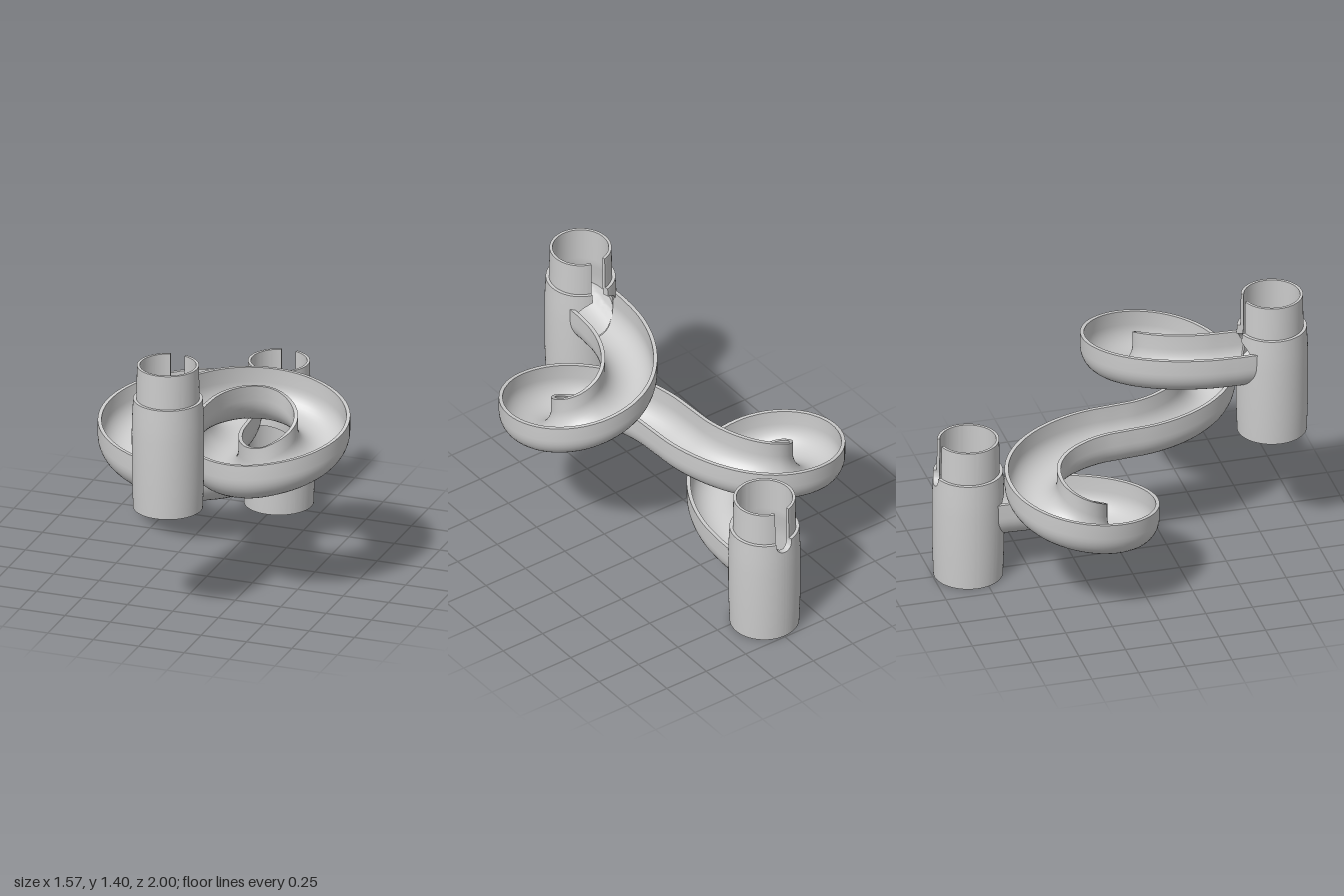
import * as THREE from 'three';
import { toCreasedNormals } from 'three/addons/utils/BufferGeometryUtils.js';

const material = new THREE.MeshStandardMaterial({ color: 0xcccccc });
const V = (x, y, z) => new THREE.Vector3(x, y, z);

// Skins a row of closed cross-sections and closes both ends.
function loft(sections) {
  const pos = [];
  const tri = (a, b, c) => {
    const area = b.clone().sub(a).cross(c.clone().sub(a)).length();
    if (area > 1e-9) pos.push(...a.toArray(), ...b.toArray(), ...c.toArray());
  };
  const quad = (a, b, c, d) => { tri(a, b, c); tri(a, c, d); };
  const n = sections[0].length;
  for (let i = 0; i < sections.length - 1; i++) {
    const s = sections[i], t = sections[i + 1];
    for (let j = 0; j < n; j++) {
      const k = (j + 1) % n;
      quad(s[j], t[j], t[k], s[k]);
    }
  }
  const first = sections[0], last = sections[sections.length - 1];
  for (let j = 0; j < n / 2 - 1; j++) {
    quad(first[j], first[j + 1], first[n - 2 - j], first[n - 1 - j]);
    quad(last[n - 1 - j], last[n - 2 - j], last[j + 1], last[j]);
  }
  const geo = new THREE.BufferGeometry();
  geo.setAttribute('position', new THREE.Float32BufferAttribute(pos, 3));
  return toCreasedNormals(geo, 0.6);
}

function addMesh(parent, geo, name, mat = material) {
  const mesh = new THREE.Mesh(geo, mat);
  mesh.name = name;
  parent.add(mesh);
  return mesh;
}

// Tower wall: height, outer radius, inner radius
const WALL = [
  [0, 0.18, 0.165], [0.17, 0.186, 0.166], [0.42, 0.187, 0.166], [0.5, 0.185, 0.165],
  [0.56, 0.182, 0.148], [0.605, 0.18, 0.147], [0.605, 0.163, 0.147], [0.79, 0.16, 0.145],
];
const TOP = 0.79, R = 0.17, HOLE = 0.125, SLOT = 0.045;
const ALPHA = Math.asin(HOLE / R), BETA = Math.asin(SLOT / R);

function radiiAt(y) {
  for (let i = 0; i < WALL.length - 1; i++) {
    const a = WALL[i], b = WALL[i + 1];
    if (b[0] > a[0] && y <= b[0]) {
      const t = (y - a[0]) / (b[0] - a[0]);
      return [a[1] + t * (b[1] - a[1]), a[2] + t * (b[2] - a[2])];
    }
  }
  return WALL[WALL.length - 1].slice(1);
}

// Part of the wall between two angles, bounded below and above by rules of x
function wallBand(parent, from, to, steps, low, high, name) {
  const sections = [];
  for (let i = 0; i <= steps; i++) {
    const a = from + (to - from) * i / steps;
    const x = R * Math.sin(a), lo = low(x), hi = high(x);
    const at = (r, y) => V(r * Math.sin(a), y, r * Math.cos(a));
    const rows = WALL.map(([y, ro, ri]) => {
      const c = Math.min(hi, Math.max(lo, y));
      return c === y ? [y, ro, ri] : [c, ...radiiAt(c)];
    });
    sections.push([
      ...rows.map(([y, ro]) => at(ro, y)),
      ...rows.reverse().map(([y, , ri]) => at(ri, y)),
    ]);
  }
  addMesh(parent, loft(sections), name);
}

const base = () => 0, top = () => TOP;
const arc = (cy, r, sign) => x => cy + sign * Math.sqrt(Math.max(0, r * r - x * x));

// Entry tower: track opening and slot join on the back
function entryTower() {
  const g = new THREE.Group();
  g.name = 'entryTower';
  const P = Math.PI, cy = 0.44;
  wallBand(g, ALPHA - P, P - ALPHA, 56, base, top, 'towerWall');
  wallBand(g, P - ALPHA, P + ALPHA, 28, base, arc(cy, HOLE, -1), 'wallBelowOpening');
  wallBand(g, P - ALPHA, P - BETA, 12, arc(cy, HOLE, 1), top, 'wallBesideSlot');
  wallBand(g, P + BETA, P + ALPHA, 12, arc(cy, HOLE, 1), top, 'wallBesideSlot');
  // Dished floor sloping toward the track
  const floor = new THREE.RingGeometry(0.0001, 0.166, 48, 10).rotateX(-Math.PI / 2);
  const p = floor.attributes.position;
  for (let i = 0; i < p.count; i++) {
    const x = p.getX(i), z = p.getZ(i);
    const dish = HOLE - Math.sqrt(Math.max(0, HOLE * HOLE - Math.min(x * x, 0.0125)));
    p.setY(i, 0.32 + dish * 0.8 + 0.25 * (z + 0.166));
  }
  floor.computeVertexNormals();
  const both = material.clone();
  both.side = THREE.DoubleSide;
  addMesh(g, floor, 'slopedFloor', both);
  return g;
}

// Exit tower: track opening in front, slot at the back
function exitTower() {
  const g = new THREE.Group();
  g.name = 'exitTower';
  const P = Math.PI, cy = 0.37;
  wallBand(g, ALPHA, P - BETA, 36, base, top, 'towerWall');
  wallBand(g, P + BETA, 2 * P - ALPHA, 36, base, top, 'towerWall');
  wallBand(g, -ALPHA, ALPHA, 28, base, arc(cy, HOLE, -1), 'wallBelowOpening');
  wallBand(g, -ALPHA, ALPHA, 28, arc(cy, HOLE, 1), top, 'wallAboveOpening');
  wallBand(g, P - BETA, P + BETA, 16, base, arc(0.59, SLOT, -1), 'wallBelowSlot');
  return g;
}

// Rim centreline: elliptical leg, half circle, elliptical leg, then the same turned half round
function trackPath() {
  const half = [V(0, 1.13, 0.62)];
  const MID = 0.79, cx = 0.385, N = 6;
  for (let i = 1; i <= N; i++) {
    const u = i / N, a = u * Math.PI / 2;
    half.push(V(cx * (1 - Math.cos(a)), 1.13 - 0.07 * u * u, 0.62 - 0.565 * Math.sin(a)));
  }
  for (let i = 1; i <= 8; i++) {
    const u = i / 8, a = u * Math.PI;
    half.push(V(cx + 0.255 * Math.sin(a), 1.06 - 0.21 * u, 0.31 - 0.255 * Math.cos(a)));
  }
  for (let i = 1; i <= N; i++) {
    const u = i / N, a = (1 - u) * Math.PI / 2;
    half.push(V(cx * (1 - Math.cos(a)), MID + 0.06 * (1 - u) ** 2, 0.565 * Math.sin(a)));
  }
  const rest = half.slice(0, -1).reverse().map(p => V(-p.x, 2 * MID - p.y, -p.z));
  return new THREE.CatmullRomCurve3([...half, ...rest]);
}

// U-shaped trough profile: sideways offset and height from the rim
function troughProfile() {
  const side = r => {
    const pts = [[-r, 0]];
    for (let i = 0; i <= 20; i++) {
      const a = Math.PI * i / 20;
      pts.push([-r * Math.cos(a), -0.08 - r * Math.sin(a)]);
    }
    return [...pts, [r, 0]];
  };
  return [...side(0.145), ...side(0.125).reverse()];
}

function track() {
  const path = trackPath(), profile = troughProfile(), up = V(0, 1, 0);
  const STEPS = 180, sections = [];
  for (let i = 0; i <= STEPS; i++) {
    const c = path.getPointAt(i / STEPS);
    const right = path.getTangentAt(i / STEPS).cross(up).normalize();
    sections.push(profile.map(([s, h]) => c.clone().addScaledVector(right, s).addScaledVector(up, h)));
  }
  // End sections follow the round tower walls
  const trim = (section, sign) => section.map(p =>
    V(p.x, p.y, sign * (0.815 - Math.sqrt(Math.max(0, 0.172 ** 2 - p.x * p.x)))));
  sections.unshift(trim(sections[0], 1));
  sections.push(trim(sections[sections.length - 1], -1));
  return loft(sections);
}

export function createModel() {
  const model = new THREE.Group();
  model.name = 'spiralTrack';
  const entry = entryTower(), exit = exitTower();
  entry.position.set(-0.003, 0.61, 0.813);
  exit.position.set(-0.003, 0, -0.813);
  model.add(entry, exit);
  addMesh(model, track(), 'trough');
  return model;
}
